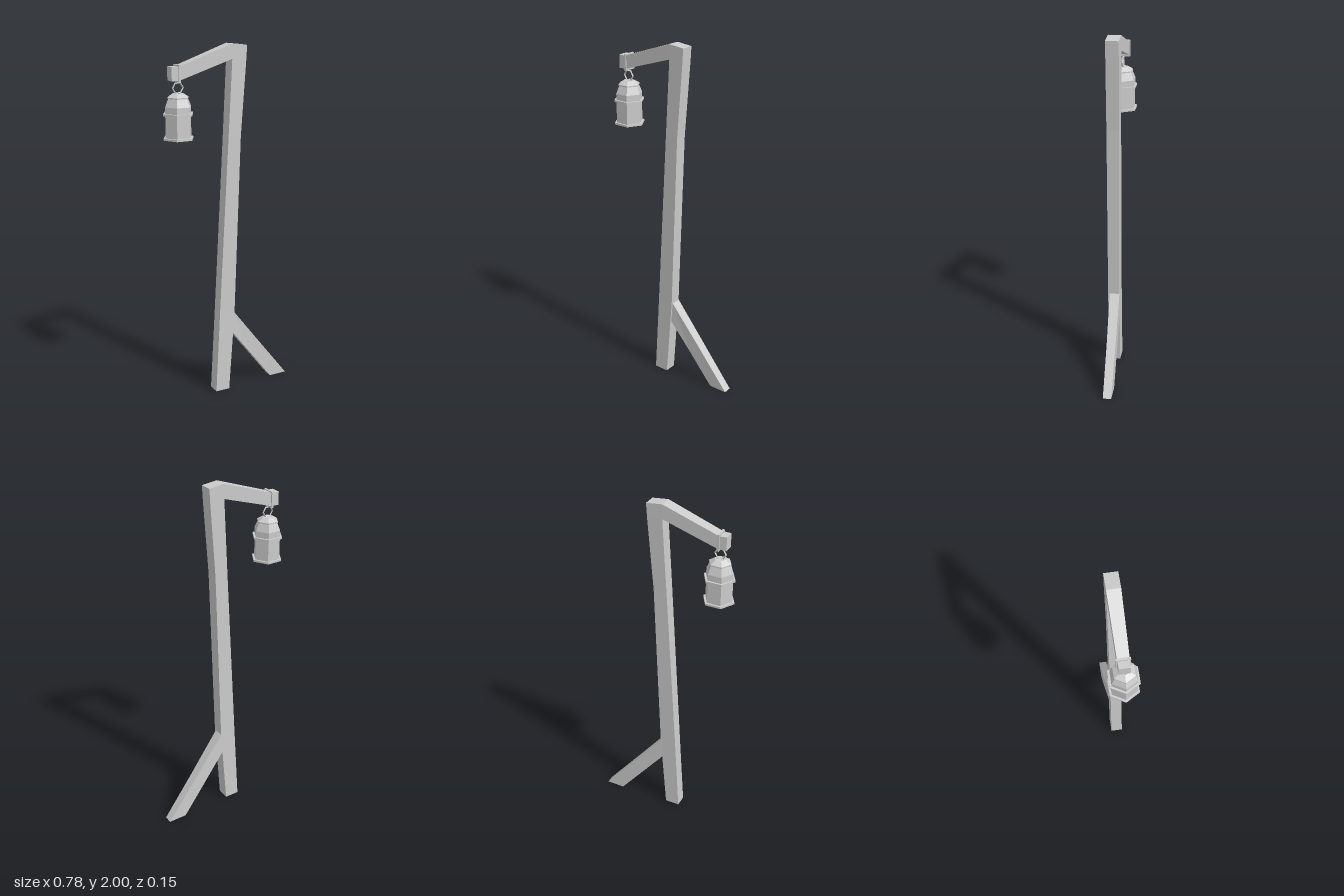
import * as THREE from 'three';

const material = new THREE.MeshStandardMaterial({ color: 0xcccccc, flatShading: true });

function add(group, name, geometry, x = 0, y = 0, z = 0) {
  const mesh = new THREE.Mesh(geometry, material);
  mesh.name = name;
  mesh.position.set(x, y, z);
  group.add(mesh);
  return mesh;
}

// Hewn timber lofted through sections [leftX, leftY, rightX, rightY, backZ, frontZ],
// left and right as seen along the direction of travel.
function timber(sections) {
  const positions = [];
  const index = [];
  for (const [ax, ay, bx, by, z0, z1] of sections) {
    positions.push(ax, ay, z1, bx, by, z1, bx, by, z0, ax, ay, z0);
  }
  const last = (sections.length - 1) * 4;
  for (let s = 0; s < last; s += 4) {
    for (let i = 0; i < 4; i++) {
      const j = (i + 1) % 4;
      index.push(s + i, s + j, s + 4 + j, s + i, s + 4 + j, s + 4 + i);
    }
  }
  index.push(0, 2, 1, 0, 3, 2, last, last + 1, last + 2, last, last + 2, last + 3);
  const geometry = new THREE.BufferGeometry();
  geometry.setAttribute('position', new THREE.Float32BufferAttribute(positions, 3));
  geometry.setIndex(index);
  geometry.computeVertexNormals();
  return geometry;
}

// Six-sided solid of revolution with corners on the x axis
function hexLathe(profile) {
  const points = profile.map(([r, y]) => new THREE.Vector2(r, y));
  return new THREE.LatheGeometry(points, 6, Math.PI / 6);
}

export function createModel() {
  const model = new THREE.Group();
  model.name = 'lanternPost';

  // Leaning post
  add(model, 'post', timber([
    [-0.105, 0, -0.02, 0, -0.035, 0.035],
    [-0.079, 0.48, 0.016, 0.48, -0.033, 0.033],
    [-0.023, 1.5, 0.053, 1.5, -0.035, 0.033],
    [0, 1.92, 0.085, 1.91, -0.038, 0.032],
    [0, 2, 0.09, 1.99, -0.038, 0.032],
  ]));

  // Arm sloping down to a level tip
  add(model, 'arm', timber([
    [0, 1.92, 0, 2, -0.038, 0.032],
    [-0.305, 1.822, -0.31, 1.893, -0.034, 0.025],
    [-0.35, 1.82, -0.35, 1.894, -0.033, 0.023],
  ]));

  // Diagonal ground brace
  add(model, 'brace', timber([
    [0.28, 0, 0.388, 0, -0.046, 0.002],
    [0.14, 0.18, 0.2, 0.24, -0.041, 0.011],
    [0.003, 0.355, 0.013, 0.48, -0.034, 0.024],
  ]));

  // Iron strap round the arm, and the hanging ring
  const lantern = new THREE.Group();
  lantern.name = 'lantern';
  lantern.position.x = -0.306;
  model.add(lantern);
  add(lantern, 'strap', new THREE.BoxGeometry(0.012, 0.09, 0.071), 0, 1.857, -0.005);
  add(lantern, 'ring', new THREE.TorusGeometry(0.03, 0.005, 4, 6), 0, 1.781, 0);

  // Hexagonal housing with a domed shoulder
  add(lantern, 'housing', hexLathe([
    [0, 1.518], [0.075, 1.518], [0.075, 1.685], [0.054, 1.735], [0, 1.735],
  ]));

  // Projecting rims
  for (const [name, y] of [['baseRim', 1.511], ['middleRim', 1.64]]) {
    add(lantern, name, hexLathe([[0, y], [0.087, y], [0.087, y + 0.011], [0, y + 0.011]]));
  }

  // Cap
  add(lantern, 'cap', hexLathe([
    [0, 1.728], [0.061, 1.728], [0.061, 1.735], [0.03, 1.754], [0, 1.754],
  ]));

  return model;
}
